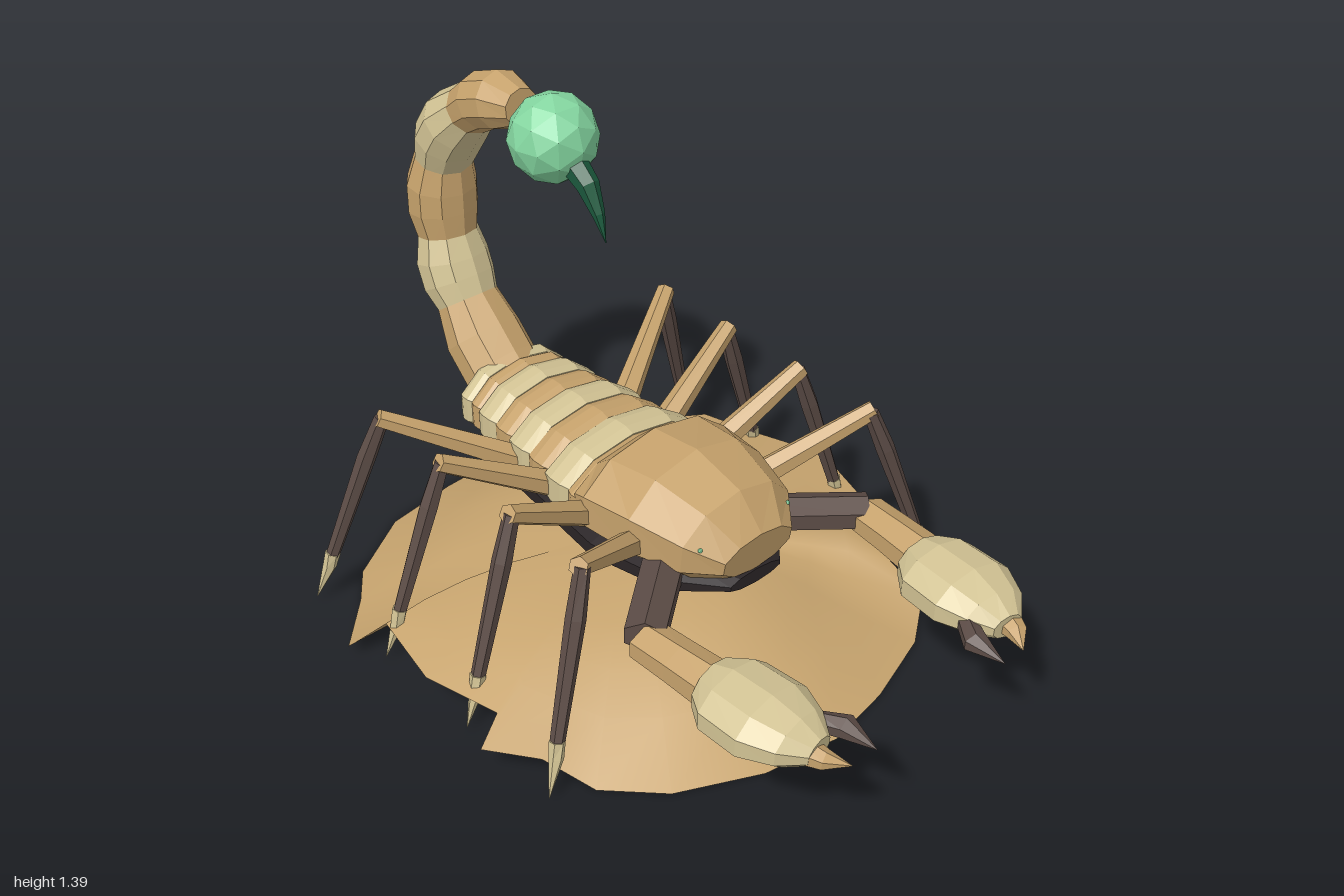
import * as THREE from 'three';

const mat = (name, color, side = THREE.FrontSide) => {
  const m = new THREE.MeshStandardMaterial({ color, side });
  m.name = name;
  return m;
};

// Faceted loft: stations are [x, y, z, halfWidth, halfHeight]
function loft(stations, n, side) {
  const P = stations.map(s => new THREE.Vector3(s[0], s[1], s[2]));
  const rings = stations.map((s, i) => {
    const t = P[Math.min(i + 1, P.length - 1)].clone().sub(P[Math.max(i - 1, 0)]).normalize();
    const w = side ? side.clone() : new THREE.Vector3(0, 1, 0).cross(t).normalize();
    const u = t.clone().cross(w);
    return Array.from({ length: n }, (_, j) => {
      const a = (j + 0.5) / n * Math.PI * 2;
      return P[i].clone().addScaledVector(w, s[3] * Math.cos(a)).addScaledVector(u, (s[4] ?? s[3]) * Math.sin(a));
    });
  });
  const pos = [];
  const tri = (...v) => v.forEach(p => pos.push(p.x, p.y, p.z));
  const last = rings.length - 1;
  for (let j = 0; j < n; j++) {
    const k = (j + 1) % n;
    for (let i = 0; i < last; i++) {
      tri(rings[i][j], rings[i][k], rings[i + 1][k]);
      tri(rings[i][j], rings[i + 1][k], rings[i + 1][j]);
    }
    tri(P[0], rings[0][k], rings[0][j]);
    tri(P[last], rings[last][j], rings[last][k]);
  }
  const g = new THREE.BufferGeometry();
  g.setAttribute('position', new THREE.Float32BufferAttribute(pos, 3));
  g.computeVertexNormals();
  return g;
}

// Faceted ball
function ball(radius) {
  const g = new THREE.IcosahedronGeometry(radius, 1);
  g.computeVertexNormals();
  return g;
}

// Broken rim of the sand mound: [x, z, y]
const RIM = [
  [0.05, -0.84, 0], [0.33, -0.79, 0.01], [0.52, -0.65, 0.06], [0.64, -0.49, 0.11], [0.68, -0.3, 0.12],
  [0.73, -0.08, 0.14], [0.69, 0.12, 0.11], [0.62, 0.27, 0.12], [0.52, 0.38, 0.13], [0.59, 0.45, 0.01],
  [0.44, 0.56, 0], [0.22, 0.64, 0], [0.02, 0.68, 0], [-0.2, 0.65, 0], [-0.42, 0.55, 0],
  [-0.55, 0.42, 0], [-0.62, 0.3, 0.06], [-0.73, 0.2, 0.09], [-0.64, 0.15, 0.12], [-0.69, -0.08, 0.11],
  [-0.64, -0.33, 0.1], [-0.73, -0.38, 0.04], [-0.58, -0.55, 0.01], [-0.5, -0.66, 0], [-0.3, -0.79, 0], [-0.08, -0.83, 0],
];

function moundGeometry() {
  const cz = -0.08, top = 0.225, n = RIM.length, rings = [0.25, 0.5, 0.68, 0.84, 1];
  const pos = [0, top, cz], idx = [];
  rings.forEach((f, r) => RIM.forEach(([x, z, y], j) => {
    const len = Math.hypot(x, z - cz);
    const k = f < 1 ? f * Math.min(1, 0.7 / len) : 1;
    const steep = 3.1 - 1.5 * Math.max(0, x / len);
    pos.push(x * k, y + (top - y) * (1 - f ** steep), cz + (z - cz) * k);
    const a = 1 + r * n + j, b = 1 + r * n + (j + 1) % n;
    if (r === 0) idx.push(0, b, a);
    else idx.push(a - n, b - n, b, a - n, b, a);
  }));
  const g = new THREE.BufferGeometry();
  g.setAttribute('position', new THREE.Float32BufferAttribute(pos, 3));
  g.setIndex(idx);
  g.computeVertexNormals();
  return g;
}

export function createModel() {
  const tan = mat('tan shell', 0xc6a26c);
  const sand = mat('sand', 0xc8a56f, THREE.DoubleSide);
  const cream = mat('cream shell', 0xd2c394);
  const brown = mat('dark brown limb', 0x5c4c46);
  const black = mat('black underside', 0x2a2426);
  const green = mat('venom green', 0x84d6a0);
  const darkGreen = mat('stinger green', 0x1c5a3e);

  const model = new THREE.Group();
  model.name = 'scorpion on sand';
  const body = new THREE.Group();
  body.name = 'scorpion';
  body.position.x = 0.02;
  model.add(body);
  const add = (name, geometry, material, parent = body) => {
    const m = new THREE.Mesh(geometry, material);
    m.name = name;
    parent.add(m);
    return m;
  };

  add('sandMound', moundGeometry(), sand, model);

  // Head shell and belly
  add('carapace', loft([
    [0, 0.415, 0.375, 0.12, 0.062], [0, 0.43, 0.29, 0.19, 0.135], [0, 0.44, 0.14, 0.235, 0.165],
    [0, 0.44, -0.01, 0.255, 0.145], [0, 0.43, -0.06, 0.24, 0.1],
  ], 10), tan);
  add('underside', loft([
    [0, 0.335, 0.37, 0.09, 0.02], [0, 0.33, 0.25, 0.2, 0.05], [0, 0.32, 0, 0.245, 0.062],
    [0, 0.325, -0.4, 0.2, 0.055], [0, 0.335, -0.58, 0.15, 0.035], [0, 0.338, -0.69, 0.08, 0.01],
  ], 10), black);

  // Banded back plates
  const bands = [-0.03, -0.1, -0.2, -0.29, -0.38, -0.46, -0.54, -0.59, -0.64];
  for (let i = 0; i < bands.length - 1; i++) {
    const [z0, z1] = [bands[i], bands[i + 1]];
    const w = 0.258 + 0.13 * (z0 + z1) / 2;
    const k = i % 2 ? 1 : 0.97, h = 0.118 * k;
    add('backPlate', loft([
      [0, 0.415, z0, w * 0.96 * k, h * 0.92], [0, 0.415, z0 + (z1 - z0) * 0.3, w * k, h],
      [0, 0.415, z0 + (z1 - z0) * 0.7, w * k, h], [0, 0.415, z1, w * 0.96 * k, h * 0.92],
    ], 10), i % 2 ? cream : tan);
  }

  // Tail joints: [z, y, joint radius]
  const joints = [[-0.58, 0.4, 0.095], [-0.81, 0.61, 0.085], [-0.89, 0.8, 0.082], [-0.89, 1.03, 0.077], [-0.755, 1.22, 0.072], [-0.525, 1.305, 0.052]];
  const bend = [0.02, 0.015, 0.015, 0.02, 0.025];
  const xAxis = new THREE.Vector3(1, 0, 0);
  for (let i = 0; i < joints.length - 1; i++) {
    const [z0, y0, r0] = joints[i], [z1, y1, r1] = joints[i + 1];
    const len = Math.hypot(z1 - z0, y1 - y0);
    const nz = -(y1 - y0) / len * bend[i], ny = (z1 - z0) / len * bend[i];
    const at = (f, r) => [0, y0 + (y1 - y0) * f + ny * Math.sin(f * Math.PI), z0 + (z1 - z0) * f + nz * Math.sin(f * Math.PI), r * 1.05, r];
    const mid = (r0 + r1) / 2 + 0.017;
    // Ends run slightly past each joint so neighbouring segments overlap
    const end = i === joints.length - 2 ? 1 : 1.1;
    add('tailSegment', loft([at(-0.1, r0 * 0.95), at(0.33, mid), at(0.67, mid), at(end, r1 * 0.97)], 10, xAxis), i % 2 ? cream : tan);
  }
  const bulb = add('venomBulb', ball(0.119), green);
  bulb.position.set(0, 1.268, -0.4);
  add('stinger', loft([
    [0, 1.225, -0.32, 0.036], [0, 1.185, -0.265, 0.03], [0, 1.12, -0.227, 0.017], [0, 1.05, -0.2, 0.001],
  ], 6, xAxis), darkGreen);

  // Legs: z at hip, knee and foot
  const legs = [[0.11, 0.285, 0.375], [-0.04, 0.015, 0.045], [-0.2, -0.27, -0.31], [-0.35, -0.535, -0.64]];
  for (const s of [-1, 1]) {
    for (const [hip, knee, foot] of legs) {
      const leg = new THREE.Group();
      leg.name = s > 0 ? 'leftLeg' : 'rightLeg';
      body.add(leg);
      const ankle = knee + (foot - knee) * 0.75;
      add('upperLeg', loft([[s * 0.16, 0.38, hip, 0.04], [s * 0.5, 0.575, knee, 0.026]], 6), tan, leg);
      add('lowerLeg', loft([[s * 0.488, 0.57, knee, 0.021], [s * 0.53, 0.45, knee + (foot - knee) * 0.25, 0.026], [s * 0.632, 0.15, ankle, 0.019]], 6), brown, leg);
      add('foot', loft([[s * 0.632, 0.155, ankle, 0.021], [s * 0.642, 0.11, ankle + (foot - ankle) * 0.3, 0.019], [s * 0.68, 0.012, foot, 0.001]], 6), cream, leg);
    }

    // Claw arm
    const arm = new THREE.Group();
    arm.name = s > 0 ? 'leftClawArm' : 'rightClawArm';
    body.add(arm);
    add('upperArm', loft([[s * 0.12, 0.36, 0.17, 0.06, 0.045], [s * 0.385, 0.36, 0.388, 0.058, 0.045]], 6), brown, arm);
    add('forearm', loft([[s * 0.38, 0.352, 0.385, 0.062, 0.045], [s * 0.372, 0.35, 0.5, 0.064, 0.05], [s * 0.36, 0.345, 0.65, 0.07, 0.058]], 6), tan, arm);
    add('hand', loft([
      [s * 0.36, 0.343, 0.6, 0.08, 0.062], [s * 0.352, 0.343, 0.66, 0.125, 0.08], [s * 0.345, 0.343, 0.78, 0.13, 0.08],
      [s * 0.335, 0.34, 0.86, 0.095, 0.062], [s * 0.325, 0.335, 0.915, 0.045, 0.035],
    ], 10), cream, arm);
    add('fixedFinger', loft([[s * 0.35, 0.335, 0.87, 0.045, 0.035], [s * 0.33, 0.33, 0.94, 0.028, 0.022], [s * 0.295, 0.325, 0.99, 0.001]], 6), tan, arm);
    add('movingFinger', loft([[s * 0.26, 0.335, 0.84, 0.025], [s * 0.222, 0.335, 0.9, 0.034, 0.026], [s * 0.22, 0.33, 0.995, 0.001]], 6), brown, arm);

    // Eye
    const eye = add('eye', ball(0.006), green);
    eye.position.set(s * 0.15, 0.465, 0.325);
  }
  return model;
}
